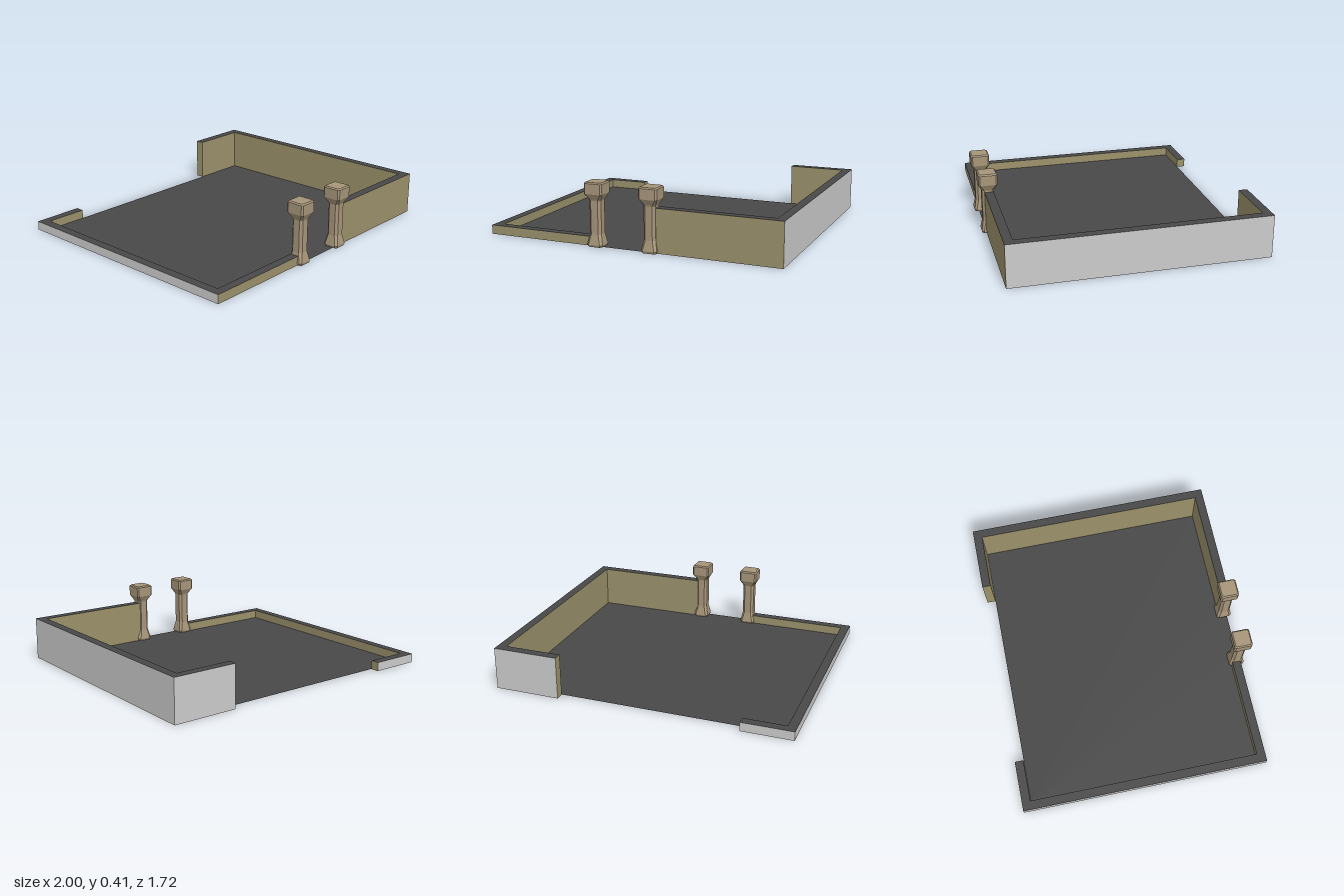
import * as THREE from 'three';

const mat = (color) => new THREE.MeshStandardMaterial({ color });
const OLIVE = mat(0x9b916b), DARK = mat(0x484848), GREY = mat(0xcccccc), STONE = mat(0xa69579);
STONE.flatShading = true;

const W = 1, FRONT = 0.82, BACK = -0.86, T = 0.058; // half width, outer z limits, wall thickness
const HIGH = 0.285, LOW = 0.06;

// Wall block between two corners; grey lists the box sides (+x,-x,+y,-y,+z,-z) left unpainted
function wall(name, x0, x1, z0, z1, h, grey) {
  const sides = [0, 1, 2, 3, 4, 5].map((i) => (grey.includes(i) ? GREY : i === 2 ? DARK : OLIVE));
  const mesh = new THREE.Mesh(new THREE.BoxGeometry(x1 - x0, h, z1 - z0), sides);
  mesh.position.set((x0 + x1) / 2, h / 2, (z0 + z1) / 2);
  mesh.name = name;
  return mesh;
}

// Square ring with cut corners, counter-clockwise from above
function ring([r, y, c]) {
  const k = r - c;
  return [[r, -k], [r, k], [k, r], [-k, r], [-r, k], [-r, -k], [-k, -r], [k, -r]]
    .map(([x, z]) => new THREE.Vector3(x, y, -z));
}

// Solid lofted through [half width, height, corner cut] sections
function loft(sections) {
  const rings = sections.map(ring), pts = [], n = 8;
  for (let s = 0; s < rings.length - 1; s++) {
    for (let i = 0; i < n; i++) {
      const j = (i + 1) % n, a = rings[s], b = rings[s + 1];
      pts.push(a[i], a[j], b[j], a[i], b[j], b[i]);
    }
  }
  const bottom = rings[0], top = rings[rings.length - 1];
  for (let i = 1; i < n - 1; i++) {
    pts.push(top[0], top[i], top[i + 1], bottom[0], bottom[i + 1], bottom[i]);
  }
  const geo = new THREE.BufferGeometry().setFromPoints(pts);
  geo.computeVertexNormals();
  return geo;
}

export function createModel() {
  const model = new THREE.Group();

  // Floor slab, reaching out through the front gateway
  const s = new THREE.Shape();
  const i = W - T, zf = FRONT - T, zb = BACK + T;
  [[-i, zb], [-i, zf], [-0.22, zf], [-0.22, FRONT], [0.15, FRONT], [0.15, zf], [i, zf], [i, zb]]
    .forEach(([x, z], k) => (k ? s.lineTo(x, -z) : s.moveTo(x, -z)));
  const floorMat = DARK.clone();
  floorMat.side = THREE.DoubleSide;
  const floor = new THREE.Mesh(new THREE.ShapeGeometry(s).rotateX(-Math.PI / 2), floorMat);
  floor.position.y = 0.001;
  floor.name = 'floor';
  model.add(floor);

  // High walls on the left, low walls on the right
  model.add(
    wall('leftWall', i, W, BACK, FRONT, HIGH, [0]),
    wall('leftFrontWall', 0.15, i, zf, FRONT, HIGH, []),
    wall('leftBackWall', 0.56, i, BACK, zb, HIGH, [5]),
    wall('rightWall', -W, -i, BACK, FRONT, LOW, [1]),
    wall('rightFrontWall', -i, -0.22, zf, FRONT, LOW, []),
    wall('rightBackWall', -i, -0.66, BACK, zb, LOW, [5]),
  );
  // Back ends of the side walls match the back faces
  for (const name of ['leftWall', 'rightWall']) model.getObjectByName(name).material[5] = GREY;

  // Gate pillars: flared foot, slim shaft, wide block cap
  const pillarGeo = loft([
    [0.048, 0, 0.012], [0.053, 0.014, 0.014], [0.04, 0.08, 0.016], [0.04, 0.295, 0.016],
    [0.044, 0.306, 0.014], [0.062, 0.34, 0.01], [0.062, 0.407, 0.01], [0.054, 0.415, 0.008],
  ]);
  for (const [name, x] of [['rightPillar', -0.225], ['leftPillar', 0.148]]) {
    const pillar = new THREE.Mesh(pillarGeo, STONE);
    pillar.position.set(x, 0, 0.797);
    pillar.name = name;
    model.add(pillar);
  }
  return model;
}
